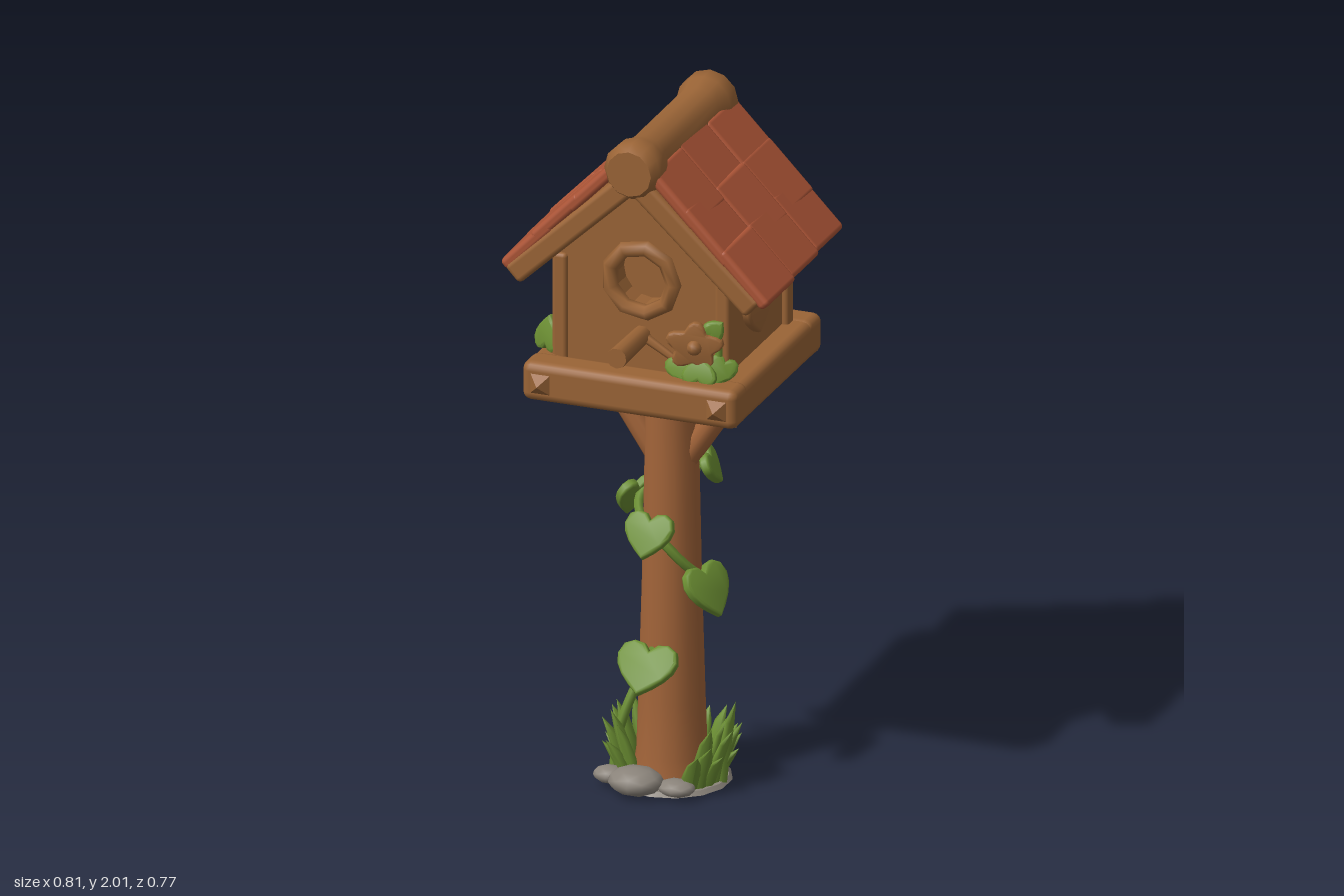
import * as THREE from 'three';
import { mergeGeometries, toCreasedNormals } from 'three/addons/utils/BufferGeometryUtils.js';
import { RoundedBoxGeometry } from 'three/addons/geometries/RoundedBoxGeometry.js';

const V = (x, y, z) => new THREE.Vector3(x, y, z);
const mat = (name, color) => {
  const m = new THREE.MeshStandardMaterial({ color });
  m.name = name;
  return m;
};

export function createModel() {
  const wood = mat('wood', 0x9a6436);
  const postWood = mat('postWood', 0xa26439);
  const roofRed = mat('roofRed', 0xab5436);
  const leafGreen = mat('leafGreen', 0x6c8f33);
  const stone = mat('stone', 0x8b847b);

  const model = new THREE.Group();
  model.name = 'birdhouse';
  const CZ = -0.03; // depth centre of post, platform and roof

  const add = (name, geo, material, pos = [0, 0, 0], parent = model) => {
    const m = new THREE.Mesh(geo, material);
    m.name = name;
    m.position.set(...pos);
    parent.add(m);
    return m;
  };
  const box = (w, h, d, r = 0.02) => new RoundedBoxGeometry(w, h, d, 2, r);
  // Round bar between two points
  const bar = (name, a, b, r0, r1, material, sides = 10) => {
    const m = add(name, new THREE.CylinderGeometry(r1, r0, a.distanceTo(b), sides), material,
      a.clone().lerp(b, 0.5).toArray());
    m.quaternion.setFromUnitVectors(V(0, 1, 0), b.clone().sub(a).normalize());
    return m;
  };

  // Post, flared at the foot
  const postProfile = [[0, 0], [0.112, 0], [0.1, 0.08], [0.094, 0.25], [0.084, 0.6], [0.077, 0.95], [0.073, 1.22], [0, 1.22]];
  add('post', toCreasedNormals(new THREE.LatheGeometry(postProfile.map(p => new THREE.Vector2(...p)), 14), 0.8),
    postWood, [0, 0, CZ]);
  for (const s of [-1, 1]) bar('brace', V(s * 0.04, 0.95, CZ), V(s * 0.225, 1.23, CZ), 0.035, 0.035, postWood);

  // Platform: floor and a rim of four beams
  add('platformFloor', box(0.6, 0.07, 0.6, 0.01), wood, [0, 1.235, CZ]);
  for (const s of [-1, 1]) {
    add('rimCrossBeam', box(0.64, 0.115, 0.1, 0.025), wood, [0, 1.252, CZ + s * 0.277]);
    add('rimSideBeam', box(0.1, 0.113, 0.63, 0.025), wood, [s * 0.268, 1.25, CZ]);
    for (const e of [-1, 1]) {
      const tip = new THREE.ConeGeometry(0.072, 0.05, 4).rotateY(Math.PI / 4).rotateX(e * Math.PI / 2);
      add('beamTip', toCreasedNormals(tip, 0.5), wood, [s * 0.262, 1.25, CZ + e * 0.33]);
    }
  }

  // House body with a holed front wall
  const gable = () => new THREE.Shape([[-0.245, 1.25], [0.245, 1.25], [0.25, 1.625], [0, 1.855], [-0.25, 1.625]]
    .map(p => new THREE.Vector2(...p)));
  add('houseBody', new THREE.ExtrudeGeometry(gable(), { depth: 0.38, bevelEnabled: false }), wood, [0, 0, -0.265]);
  const front = gable();
  front.holes.push(new THREE.Path().absarc(0, 1.565, 0.085, 0, Math.PI * 2, true));
  add('frontWall', new THREE.ExtrudeGeometry(front, { depth: 0.08, bevelEnabled: false, curveSegments: 8 }),
    wood, [0, 0, 0.115]);
  for (const s of [-1, 1]) for (const z of [-0.255, 0.185])
    add('cornerPost', box(0.045, 0.36, 0.045, 0.012), wood, [s * 0.242, 1.43, z]);
  add('entranceRing', new THREE.TorusGeometry(0.097, 0.023, 7, 9), wood, [0, 1.565, 0.2]);

  // Perch
  bar('perch', V(0, 1.4, 0.18), V(0, 1.4, 0.385), 0.027, 0.03, wood, 9);
  bar('perchTwig', V(0.01, 1.4, 0.205), V(0.11, 1.345, 0.21), 0.014, 0.01, wood, 6);

  // Heart outline, tip down, one unit wide and high
  const heartGeo = (w, h, depth) => {
    const s = new THREE.Shape();
    s.moveTo(0, -0.5 * h);
    s.bezierCurveTo(0.25 * w, -0.3 * h, 0.5 * w, -0.05 * h, 0.5 * w, 0.2 * h);
    s.bezierCurveTo(0.5 * w, 0.55 * h, 0.1 * w, 0.6 * h, 0, 0.32 * h);
    s.bezierCurveTo(-0.1 * w, 0.6 * h, -0.5 * w, 0.55 * h, -0.5 * w, 0.2 * h);
    s.bezierCurveTo(-0.5 * w, -0.05 * h, -0.25 * w, -0.3 * h, 0, -0.5 * h);
    const g = new THREE.ExtrudeGeometry(s, {
      depth, curveSegments: 4, bevelSize: 0.008, bevelThickness: 0.008, bevelSegments: 2, bevelOffset: -0.006,
    });
    return toCreasedNormals(g.translate(0, 0, -depth / 2), 1);
  };
  for (const s of [-1, 1])
    add('sideHeart', heartGeo(0.17, 0.125, 0.02), wood, [s * 0.253, 1.43, -0.02]).rotation.y = s * Math.PI / 2;

  // Roof: one pitched half, turned round for the other
  const pitch = Math.atan(0.93);
  for (const turn of [0, Math.PI]) {
    const side = new THREE.Group();
    side.name = 'roofHalf';
    side.position.set(0, 1.84, CZ);
    side.rotation.set(0, turn, 0);
    const slope = new THREE.Group();
    slope.name = 'roofSlope';
    slope.rotation.z = -pitch;
    side.add(slope);
    model.add(side);
    add('roofBoard', box(0.45, 0.035, 0.57, 0.01), wood, [0.23, 0.045, 0], slope);
    for (const e of [-1, 1])
      add('gableBoard', box(0.462, 0.066, 0.055, 0.015), wood, [0.228, 0.033, e * 0.278], slope);
    // Three rows of three uneven shingles
    [0.47, 0.33, 0.185].forEach((end, row) => {
      [-1, 0, 1].forEach(col => {
        const wobble = Math.sin(row * 2.3 + col * 1.9);
        const len = 0.2;
        const sh = add('shingle', box(len, 0.036, 0.208, 0.014), roofRed,
          [end - len / 2 + wobble * 0.008, 0.074 + row * 0.005, col * 0.198], slope);
        sh.rotation.set(wobble * 0.02, 0, -0.0 + 0.05);
        sh.rotation.z = -0.05;
        sh.position.y += wobble * 0.002;
      });
    });
  }

  // Ridge log with swollen ends
  const ridge = [[0, -0.318], [0.066, -0.318], [0.084, -0.29], [0.082, -0.24], [0.068, -0.19],
    [0.067, 0.19], [0.082, 0.24], [0.084, 0.29], [0.066, 0.318], [0, 0.318]];
  add('ridgeLog', toCreasedNormals(new THREE.LatheGeometry(ridge.map(p => new THREE.Vector2(...p)), 12)
    .rotateX(Math.PI / 2), 0.9), wood, [0, 1.914, -0.025]);

  // Leaf facing a given direction
  const leaf = (p, n, w, h, roll = 0) => {
    const m = add('leaf', heartGeo(w, h, 0.012), leafGreen, p);
    m.lookAt(V(...p).add(V(...n)));
    m.rotateZ(roll);
  };

  // Vine winding down the post
  const vine = [];
  for (let i = 0; i <= 24; i++) {
    const t = i / 24, a = 0.3 - t * Math.PI * 3.3, r = 0.084 + 0.018 * t;
    vine.push(V(Math.cos(a) * r, 0.93 - 0.83 * t, CZ + Math.sin(a) * r));
  }
  // Descends front, left side, back, right side
  const wind = [[0.085, 0.92, -0.06], [0.03, 0.9, -0.115], [-0.06, 0.86, -0.095], [-0.095, 0.82, -0.03],
    [-0.06, 0.78, 0.04], [0, 0.74, 0.062], [0.06, 0.67, 0.04], [0.1, 0.6, -0.02], [0.075, 0.51, -0.095],
    [0, 0.43, -0.135], [-0.075, 0.34, -0.1], [-0.11, 0.25, -0.04], [-0.15, 0.12, -0.01], [-0.16, 0.02, 0]];
  add('vine', new THREE.TubeGeometry(new THREE.CatmullRomCurve3(wind.map(p => V(...p))), 60, 0.014, 6), leafGreen);
  bar('vineStem', V(-0.1, 0.27, -0.01), V(-0.02, 0.41, 0.07), 0.011, 0.011, leafGreen, 6);
  leaf([0.1, 0.92, -0.075], [1, 0.5, -0.3], 0.14, 0.1);
  leaf([-0.125, 0.81, -0.05], [-0.8, 0.5, -0.4], 0.12, 0.13);
  leaf([-0.02, 0.76, 0.1], [-0.1, 0.6, 1], 0.145, 0.13);
  leaf([0.135, 0.595, 0.03], [1, 0.6, 0.35], 0.16, 0.15);
  leaf([-0.06, 0.43, -0.16], [-0.5, 0.5, -1], 0.15, 0.14);
  leaf([-0.02, 0.37, 0.12], [-0.1, 0.8, 1], 0.18, 0.15);
  leaf([-0.125, 0.265, -0.11], [-0.9, 0.5, -0.5], 0.12, 0.14);

  // Carved flower with leaves at the front corner
  const petals = [];
  for (let i = 0; i < 40; i++) {
    const a = i / 40 * Math.PI * 2, r = 0.064 + 0.014 * Math.cos(5 * a - 1.2);
    petals.push(new THREE.Vector2(Math.cos(a) * r, Math.sin(a) * r * 0.85));
  }
  add('flower', toCreasedNormals(new THREE.ExtrudeGeometry(new THREE.Shape(petals), {
    depth: 0.014, bevelSize: 0.006, bevelThickness: 0.006, bevelSegments: 2,
  }), 0.8), wood, [0.17, 1.405, 0.225]).rotation.y = 0.2;
  add('flowerCentre', new THREE.SphereGeometry(0.022, 8, 6), wood, [0.175, 1.405, 0.243]);
  leaf([0.13, 1.33, 0.225], [-0.2, 0.4, 1], 0.09, 0.075, 0.5);
  leaf([0.19, 1.335, 0.235], [0, 0.4, 1], 0.1, 0.08, Math.PI);
  leaf([0.245, 1.335, 0.215], [0.5, 0.4, 1], 0.08, 0.08, -0.4);
  leaf([0.225, 1.455, 0.21], [0.2, 0.1, 1], 0.06, 0.06, 2.4);
  leaf([-0.285, 1.355, 0.17], [-0.5, 0.2, 1], 0.09, 0.1, Math.PI);
  bar('cornerStem', V(0.235, 1.31, 0.21), V(0.235, 1.45, 0.205), 0.012, 0.01, leafGreen, 6);

  // Ring of grass blades, with a gap at the front for the stones
  const blades = [];
  const blade = (a, r, h, lean) => {
    const g = new THREE.LatheGeometry([[0, 0], [0.02, 0], [0.028, 0.4], [0.021, 0.75], [0, 1]]
      .map(p => new THREE.Vector2(p[0], p[1] * h)), 6).scale(1, 1, 0.65);
    const pos = g.attributes.position;
    for (let i = 0; i < pos.count; i++) {
      const t = pos.getY(i) / h;
      pos.setZ(i, pos.getZ(i) + lean * t * t);
    }
    g.computeVertexNormals();
    blades.push(g.rotateY(a).translate(Math.sin(a) * r, 0, CZ + Math.cos(a) * r));
  };
  for (let i = 0; i < 22; i++) {
    const a = 0.75 + i / 21 * (Math.PI * 2 - 1.6);
    const sideways = Math.abs(Math.sin(a));
    blade(a, 0.135, 0.09 + 0.05 * sideways + 0.035 * Math.sin(i * 2.7), 0.06);
    if (i % 2) blade(a + 0.1, 0.12, 0.13 + 0.07 * sideways, 0.05);
  }
  blade(Math.PI / 2, 0.15, 0.25, 0.04);
  add('grass', mergeGeometries(blades), leafGreen);

  // Stones and ground pad
  const rock = (x, y, z, sx, sy, sz) => {
    const m = add('stone', new THREE.IcosahedronGeometry(1, 1), stone, [x, y, z]);
    m.scale.set(sx, sy, sz);
  };
  rock(-0.05, 0.032, 0.115, 0.08, 0.04, 0.07);
  rock(0.065, 0.022, 0.1, 0.055, 0.024, 0.045);
  rock(-0.14, 0.025, 0.08, 0.05, 0.025, 0.04);
  add('groundPad', new THREE.CylinderGeometry(0.16, 0.17, 0.012, 14), stone, [0, 0.006, CZ]);

  return model;
}
